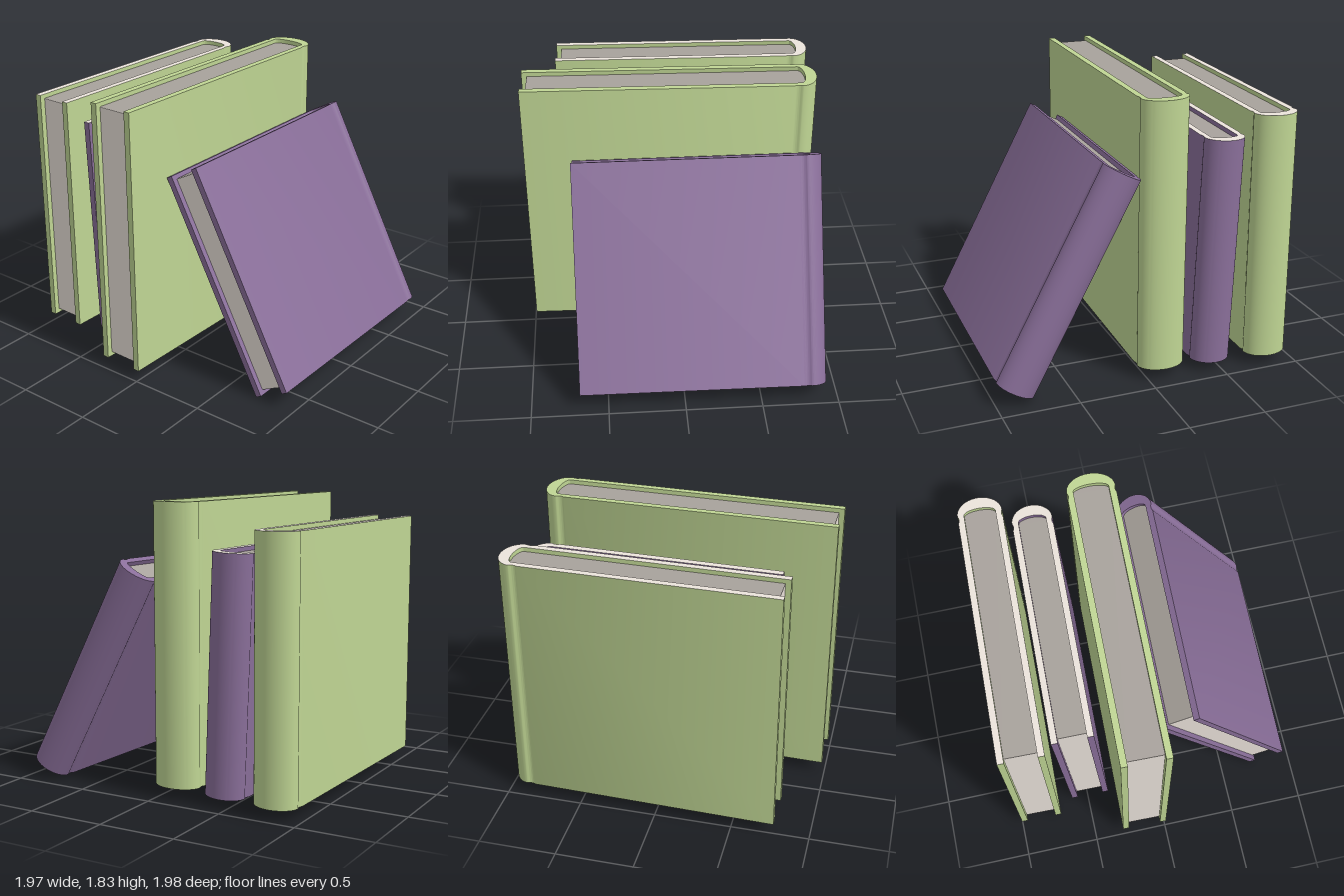
import * as THREE from 'three';
import { toCreasedNormals } from 'three/addons/utils/BufferGeometryUtils.js';

const WALL = 0.042;     // cover board thickness
const SPINE = 0.11;     // depth of the rounded spine
const RECESS = 0.03;    // how far pages sit inside the cover
const YAW = -0.0225;    // slight turn shared by all books

const paint = (color) => new THREE.MeshStandardMaterial({ color });
const green = paint(0xc0d694);
const purple = paint(0x8a6f9a);
const cream = paint(0xece4dc);
const greyTop = paint(0xa8a29c);

// Extrude a plan outline (x along the book, y across it) upwards
function upright(shape, height) {
  const geo = new THREE.ExtrudeGeometry(shape, { depth: height, bevelEnabled: false, curveSegments: 20 });
  geo.rotateX(-Math.PI / 2);
  return toCreasedNormals(geo, 0.6);
}

// U-shaped cover: two boards, hinge grooves and a rounded spine
function coverShape(length, h) {
  const s = length - SPINE, inner = h - WALL;
  const shape = new THREE.Shape();
  shape.moveTo(0, -h);
  shape.lineTo(s - 0.05, -h);
  shape.quadraticCurveTo(s - 0.025, -h + 0.014, s, -h);
  shape.absellipse(s, 0, SPINE, h, -Math.PI / 2, Math.PI / 2, false);
  shape.quadraticCurveTo(s - 0.025, h - 0.014, s - 0.05, h);
  shape.lineTo(0, h);
  shape.lineTo(0, inner);
  shape.lineTo(s, inner);
  shape.absellipse(s, 0, 0.035, inner, Math.PI / 2, -Math.PI / 2, true);
  shape.lineTo(0, -inner);
  shape.closePath();
  return shape;
}

// Page block outline, rounded where it meets the spine
function pageShape(length, h) {
  const s = length - SPINE, inner = h - WALL;
  const shape = new THREE.Shape();
  shape.moveTo(0.035, -inner);
  shape.lineTo(s, -inner);
  shape.absellipse(s, 0, 0.035, inner, -Math.PI / 2, Math.PI / 2, false);
  shape.lineTo(0.035, inner);
  shape.closePath();
  return shape;
}

// A book standing on its fore-edge corner, spine towards +x
function createBook({ name, length, height, thick, color, edge, at, lean }) {
  const book = new THREE.Group();
  book.name = name;

  const cover = new THREE.Mesh(upright(coverShape(length, thick / 2), height), [edge, color]);
  cover.name = 'cover';

  const outline = pageShape(length, thick / 2);
  const pages = new THREE.Mesh(upright(outline, height - 2 * RECESS), cream);
  pages.name = 'pages';
  pages.position.y = RECESS;

  const topGeo = new THREE.ShapeGeometry(outline, 20);
  topGeo.rotateX(-Math.PI / 2);
  const pageTop = new THREE.Mesh(topGeo, greyTop);
  pageTop.name = 'pageTop';
  pageTop.position.y = height - RECESS + 0.002;

  book.add(cover, pages, pageTop);
  book.position.set(...at);
  book.rotation.set(lean, YAW, 0);
  return book;
}

export function createModel() {
  const group = new THREE.Group();
  group.name = 'bookRow';
  const books = [
    { name: 'backBook', length: 1.755, height: 1.615, thick: 0.285, color: green, edge: cream, at: [-0.775, 0.07, -0.857], lean: 0 },
    { name: 'smallBook', length: 1.61, height: 1.485, thick: 0.265, color: purple, edge: cream, at: [-0.68, 0.06, -0.482], lean: -0.037 },
    { name: 'tallBook', length: 1.905, height: 1.755, thick: 0.31, color: green, edge: green, at: [-0.985, 0.075, -0.147], lean: 0 },
    { name: 'leaningBook', length: 1.61, height: 1.495, thick: 0.265, color: purple, edge: purple, at: [-0.68, 0.062, 0.835], lean: -0.485 },
  ];
  for (const b of books) group.add(createBook(b));
  return group;
}
